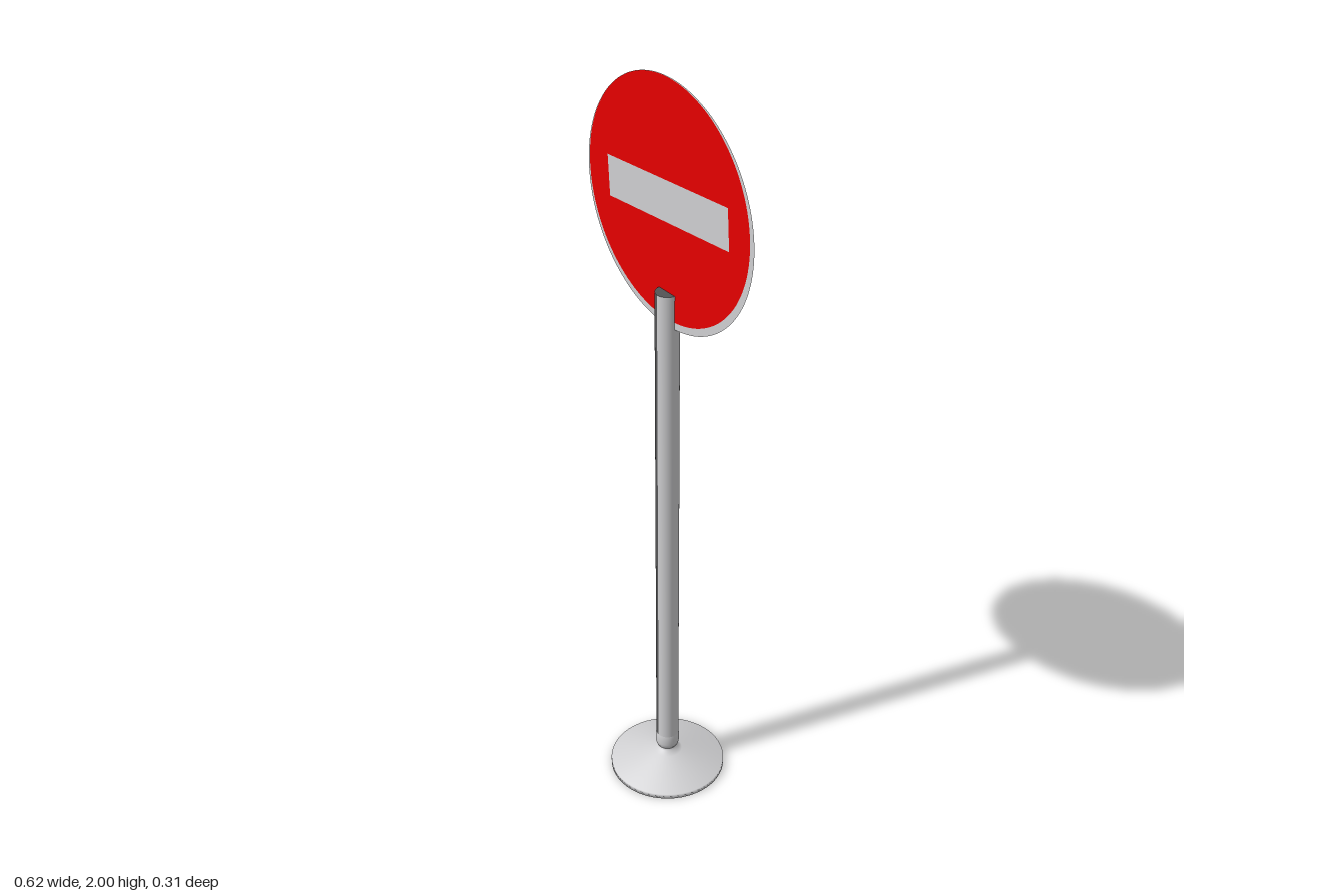
import * as THREE from 'three';

const grey = new THREE.MeshStandardMaterial({ color: 0xd0d0d2 });
grey.name = 'light grey';
const darkGrey = new THREE.MeshStandardMaterial({ color: 0x545455 });
darkGrey.name = 'dark grey';
const red = new THREE.MeshStandardMaterial({ color: 0xe60000 });
red.name = 'sign red';

const POLE_X = -0.003;
const POLE_R = 0.03;
const SIGN_Y = 1.69;

function addMesh(parent, name, geometry, material, x = 0, y = 0, z = 0) {
  const mesh = new THREE.Mesh(geometry, material);
  mesh.name = name;
  mesh.position.set(x, y, z);
  parent.add(mesh);
  return mesh;
}

// Turned part with smooth normals along its profile
function addTurned(parent, name, profile, material, start = 0, sweep = Math.PI * 2) {
  const points = profile.map(([r, y]) => new THREE.Vector2(r, y));
  addMesh(parent, name, new THREE.LatheGeometry(points, 48, start, sweep), material, POLE_X);
}

// Outline of a tilted bar
function barOutline(cx, cy, w, h, tilt) {
  const corners = [[-1, -1], [1, -1], [1, 1], [-1, 1]];
  return corners.map(([sx, sy]) => new THREE.Vector2(sx * w / 2, sy * h / 2)
    .rotateAround(new THREE.Vector2(), tilt)
    .add(new THREE.Vector2(cx, cy)));
}

function circle(path, x, y, r) {
  path.absarc(x, y, r, 0, Math.PI * 2);
  return path;
}

export function createModel() {
  const model = new THREE.Group();
  model.name = 'roadSign';

  // Foot: flat underside, thin rim, shallow cone rising to the neck
  addTurned(model, 'base', [
    [0, 0], [0.155, 0], [0.155, 0.014], [0.04, 0.046], [0.027, 0.056], [0.025, 0.064],
  ], grey);

  // Collar
  addTurned(model, 'collar', [
    [0.025, 0.062], [0.03, 0.07], [0.032, 0.08], [0.032, 0.098], [POLE_R, 0.108],
  ], grey);

  // Two-tone pole with a dark top
  const side = [[POLE_R, 0.1], [POLE_R, 1.47]];
  addTurned(model, 'poleLeftHalf', side, grey, 0, Math.PI);
  addTurned(model, 'poleRightHalf', side, darkGrey, Math.PI, Math.PI);
  addTurned(model, 'poleTop', [[POLE_R, 1.47], [0, 1.47]], darkGrey);

  // Round plate cutting through the top of the pole
  const sign = new THREE.Group();
  sign.name = 'sign';
  sign.position.set(-0.001, SIGN_Y, 0);
  model.add(sign);

  // Each side: grey rim, red field and grey bar set into one another
  const faces = [
    { name: 'front', turn: 0, x: -0.004, barY: 0.01, h: 0.104, tilt: 0.07 },
    { name: 'back', turn: Math.PI, x: -0.008, barY: 0.006, h: 0.094, tilt: 0 },
  ];
  for (const f of faces) {
    const face = new THREE.Group();
    face.name = f.name + 'Face';
    face.rotation.y = f.turn;

    const bar = barOutline(f.x, f.barY, 0.45, f.h, f.tilt);
    const rim = circle(new THREE.Shape(), 0, 0, 0.31);
    rim.holes.push(circle(new THREE.Path(), -0.005, 0.008, 0.3));
    const field = circle(new THREE.Shape(), -0.005, 0.008, 0.3);
    field.holes.push(new THREE.Path(bar));

    addMesh(face, f.name + 'Rim', new THREE.ShapeGeometry(rim, 64), grey, 0, 0, 0.001);
    addMesh(face, f.name + 'Field', new THREE.ShapeGeometry(field, 64), red, 0, 0, 0.001);
    addMesh(face, f.name + 'Bar', new THREE.ShapeGeometry(new THREE.Shape(bar)), grey, 0, 0, 0.001);
    sign.add(face);
  }

  return model;
}
